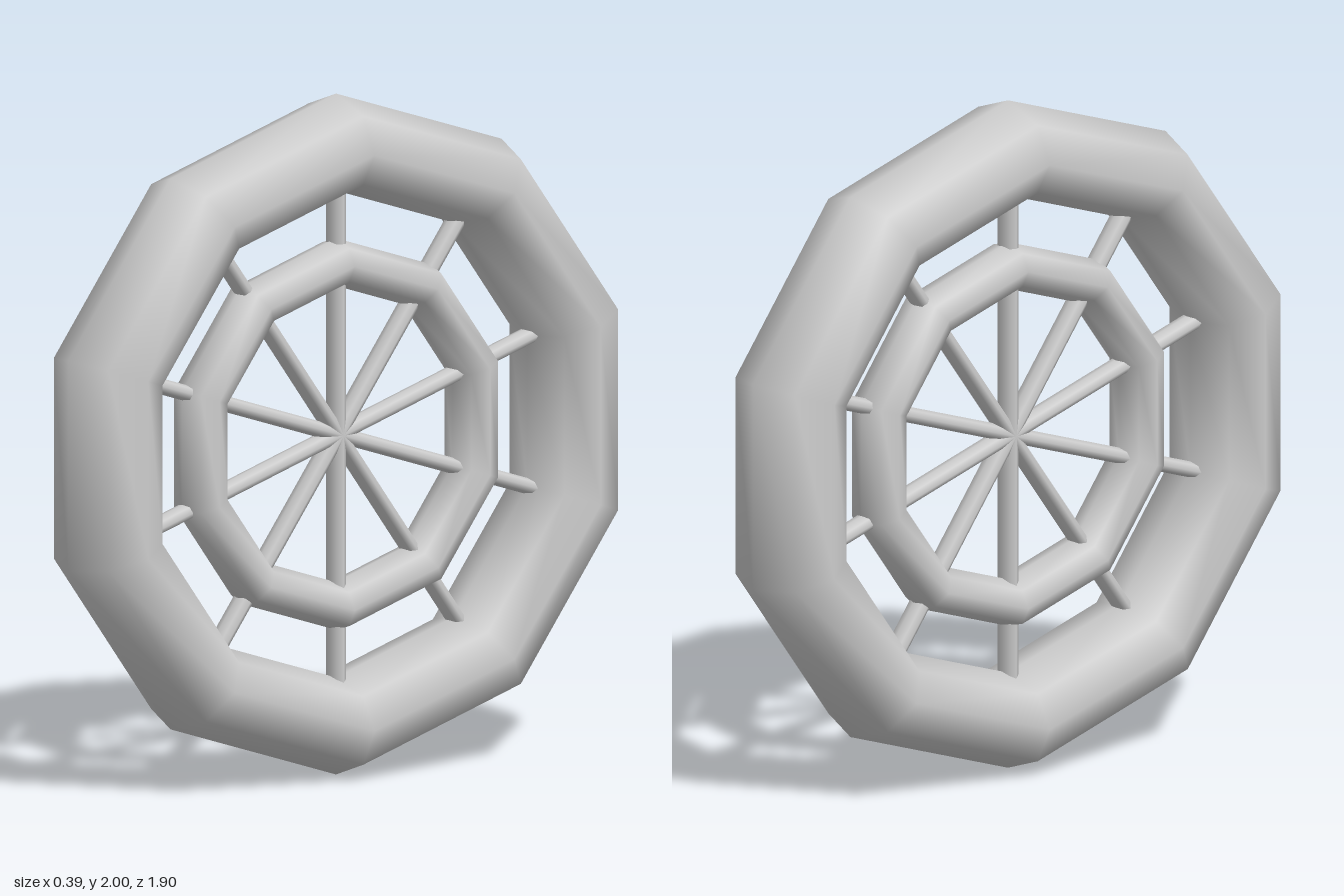
import * as THREE from 'three';

const SIDES = 10;
const material = new THREE.MeshStandardMaterial({ color: 0xcccccc });

function addMesh(parent, name, geometry) {
  const mesh = new THREE.Mesh(geometry, material);
  mesh.name = name;
  parent.add(mesh);
  return mesh;
}

// Ten-sided ring around the x axis with an oval eight-sided section;
// lean draws the widest points slightly towards the hub.
function ringGeometry(outer, inner, halfWidth, lean) {
  const tube = (outer - inner) / 2;
  const geometry = new THREE.TorusGeometry((outer + inner) / 2, tube, 8, SIDES);
  geometry.scale(1, 1, halfWidth / tube);
  const p = geometry.attributes.position;
  for (let i = 0; i < p.count; i++) {
    const radius = Math.hypot(p.getX(i), p.getY(i));
    const k = 1 - (lean * (p.getZ(i) / halfWidth) ** 2) / radius;
    p.setXY(i, p.getX(i) * k, p.getY(i) * k);
  }
  return geometry.rotateZ(Math.PI / 2).rotateY(Math.PI / 2);
}

export function createModel() {
  const model = new THREE.Group();
  model.name = 'wheel';

  const wheel = new THREE.Group();
  wheel.name = 'wheelBody';
  wheel.position.y = 1;
  model.add(wheel);

  // Rims
  addMesh(wheel, 'outerRim', ringGeometry(1, 0.715, 0.193, 0.012));
  addMesh(wheel, 'innerRing', ringGeometry(0.575, 0.435, 0.095, 0));

  // Full-width bars crossing at the hub, each forming two spokes
  const spokes = new THREE.Group();
  spokes.name = 'spokes';
  wheel.add(spokes);
  const bar = new THREE.CylinderGeometry(0.023, 0.023, 1.6, 8).scale(1.7, 1, 1);
  for (let i = 0; i < SIDES / 2; i++) {
    addMesh(spokes, 'spokeBar', bar).rotation.x = (i * 2 * Math.PI) / SIDES;
  }
  return model;
}
